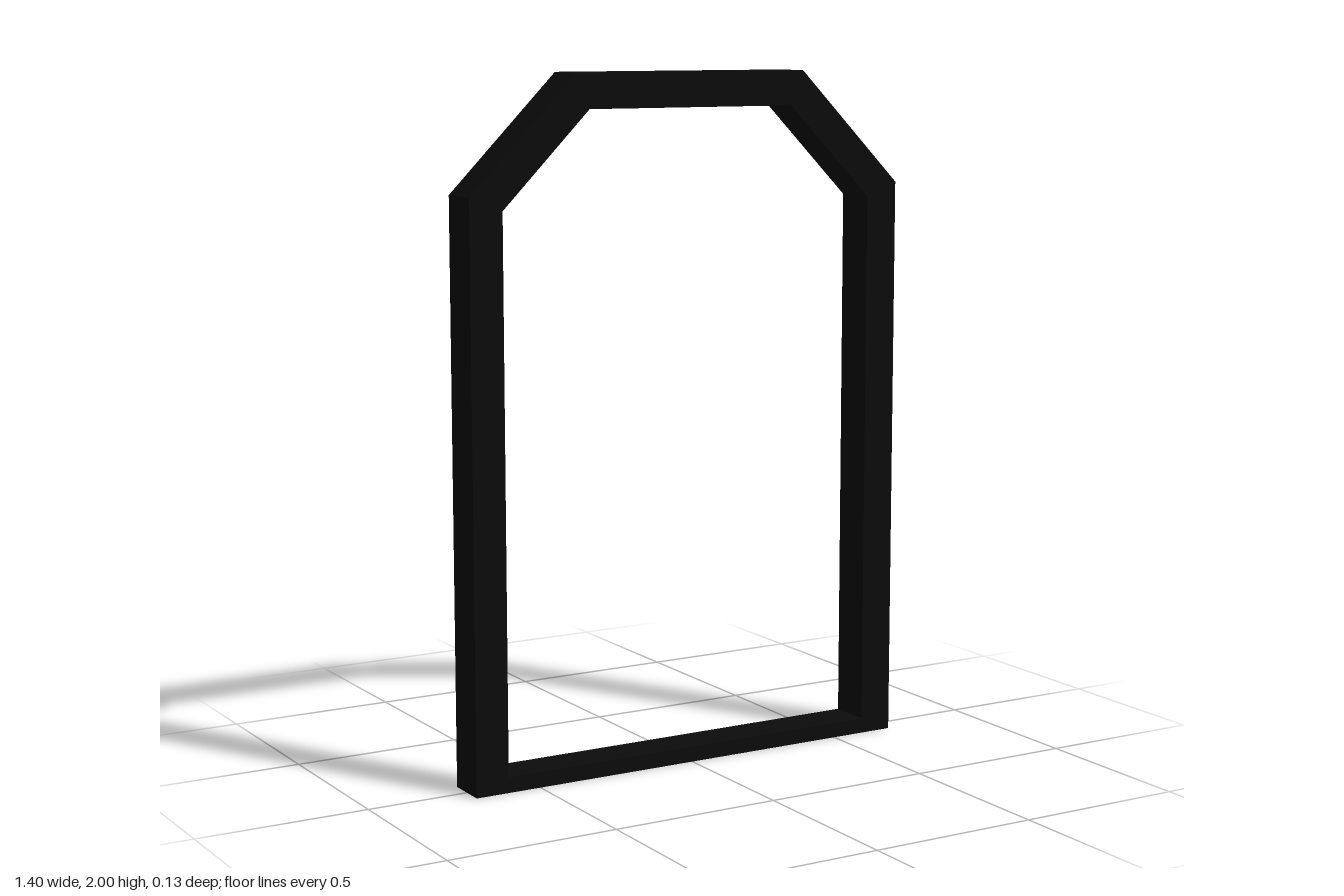
import * as THREE from 'three';

const DEPTH = 0.126;

export function createModel() {
  const group = new THREE.Group();
  group.name = 'doorFrame';
  const material = new THREE.MeshStandardMaterial({ color: 0x0c0c0c, flatShading: true });

  // Right half of the outline from floor to top, mirrored for the other half
  const outer = [[0.7, 0], [0.7, 1.67], [0.37, 2]];
  const inner = [[0.6, 0], [0.6, 1.63], [0.33, 1.9]];
  const mirrored = (half) => [...half, ...half.map(([x, y]) => [-x, y]).reverse()];
  const outline = [...mirrored(outer), ...mirrored(inner).reverse()];

  // Posts, slanted corners and lintel in one piece
  const shape = new THREE.Shape(outline.map(([x, y]) => new THREE.Vector2(x, y)));
  const archGeometry = new THREE.ExtrudeGeometry(shape, { depth: DEPTH, bevelEnabled: false });
  archGeometry.translate(0, 0, -DEPTH / 2);
  const arch = new THREE.Mesh(archGeometry, material);
  arch.name = 'postsAndLintel';
  group.add(arch);

  // Low threshold between the posts
  const threshold = new THREE.Mesh(new THREE.BoxGeometry(1.2, 0.045, DEPTH), material);
  threshold.name = 'threshold';
  threshold.position.y = 0.0225;
  group.add(threshold);

  return group;
}
